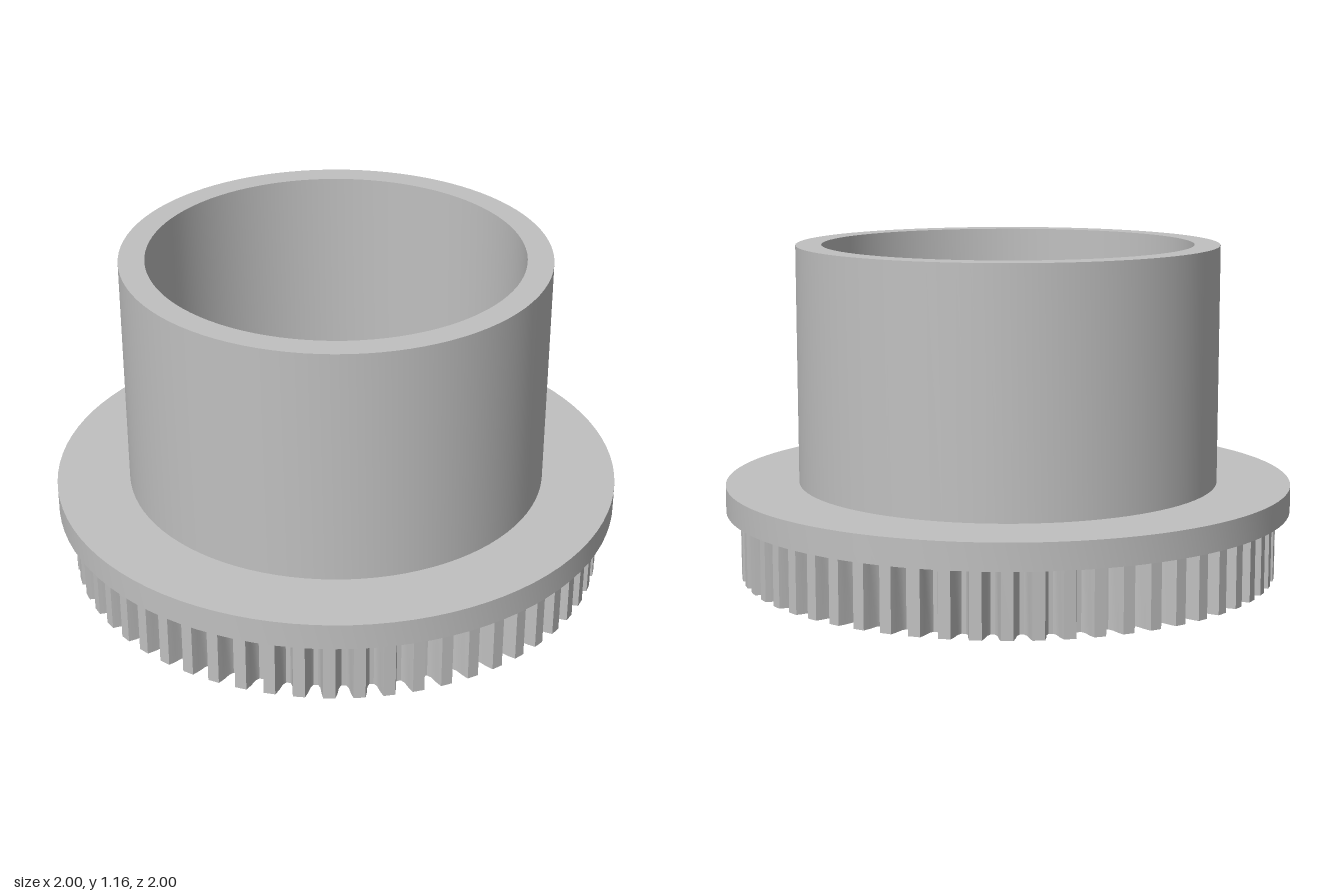
import * as THREE from 'three';
import { toCreasedNormals } from 'three/addons/utils/BufferGeometryUtils.js';

const TEETH = 60, TIP = 0.95, ROOT = 0.88, BORE = 0.123;
const GEAR_TOP = 0.235, FLANGE_TOP = 0.328, TOP = 1.165;

// Revolve a closed (radius, height) profile, keeping its corners sharp
function turned(profile, material, name) {
  const points = profile.map(([r, y]) => new THREE.Vector2(r, y));
  const geometry = toCreasedNormals(new THREE.LatheGeometry(points, 96), 0.6);
  const mesh = new THREE.Mesh(geometry, material);
  mesh.name = name;
  return mesh;
}

// Toothed outline: flat tips with rounded grooves, as [pitch fraction, depth fraction]
function gearShape() {
  const tooth = [[-0.2, 0], [0.2, 0], [0.27, 0.35], [0.33, 0.8], [0.42, 1], [0.58, 1], [0.67, 0.8], [0.73, 0.35]];
  const outline = [];
  for (let i = 0; i < TEETH; i++) {
    for (const [f, d] of tooth) {
      const a = ((i + f) / TEETH) * Math.PI * 2;
      const r = TIP - d * (TIP - ROOT);
      outline.push(new THREE.Vector2(r * Math.cos(a), r * Math.sin(a)));
    }
  }
  const shape = new THREE.Shape(outline);
  shape.holes.push(new THREE.Path().absarc(0, 0, BORE, 0, Math.PI * 2, true));
  return shape;
}

export function createModel() {
  const model = new THREE.Group();
  model.name = 'flangedPulley';
  const grey = new THREE.MeshStandardMaterial({ color: 0xc0c0c0 });
  grey.name = 'light grey';

  // Toothed wheel with the shaft bore
  const gear = new THREE.ExtrudeGeometry(gearShape(), { depth: GEAR_TOP, bevelEnabled: false, curveSegments: 24 });
  gear.rotateX(-Math.PI / 2);
  const wheel = new THREE.Mesh(toCreasedNormals(gear, 0.5), grey);
  wheel.name = 'toothedWheel';
  model.add(wheel);

  // Flange, open cup and the recess around the bore
  model.add(turned([
    [0.23, GEAR_TOP], [1, GEAR_TOP], [1, FLANGE_TOP], [0.742, FLANGE_TOP],
    [0.742, TOP], [0.652, TOP], [0.652, FLANGE_TOP], [0.23, FLANGE_TOP], [0.23, GEAR_TOP],
  ], grey, 'flangeAndCup'));

  return model;
}
